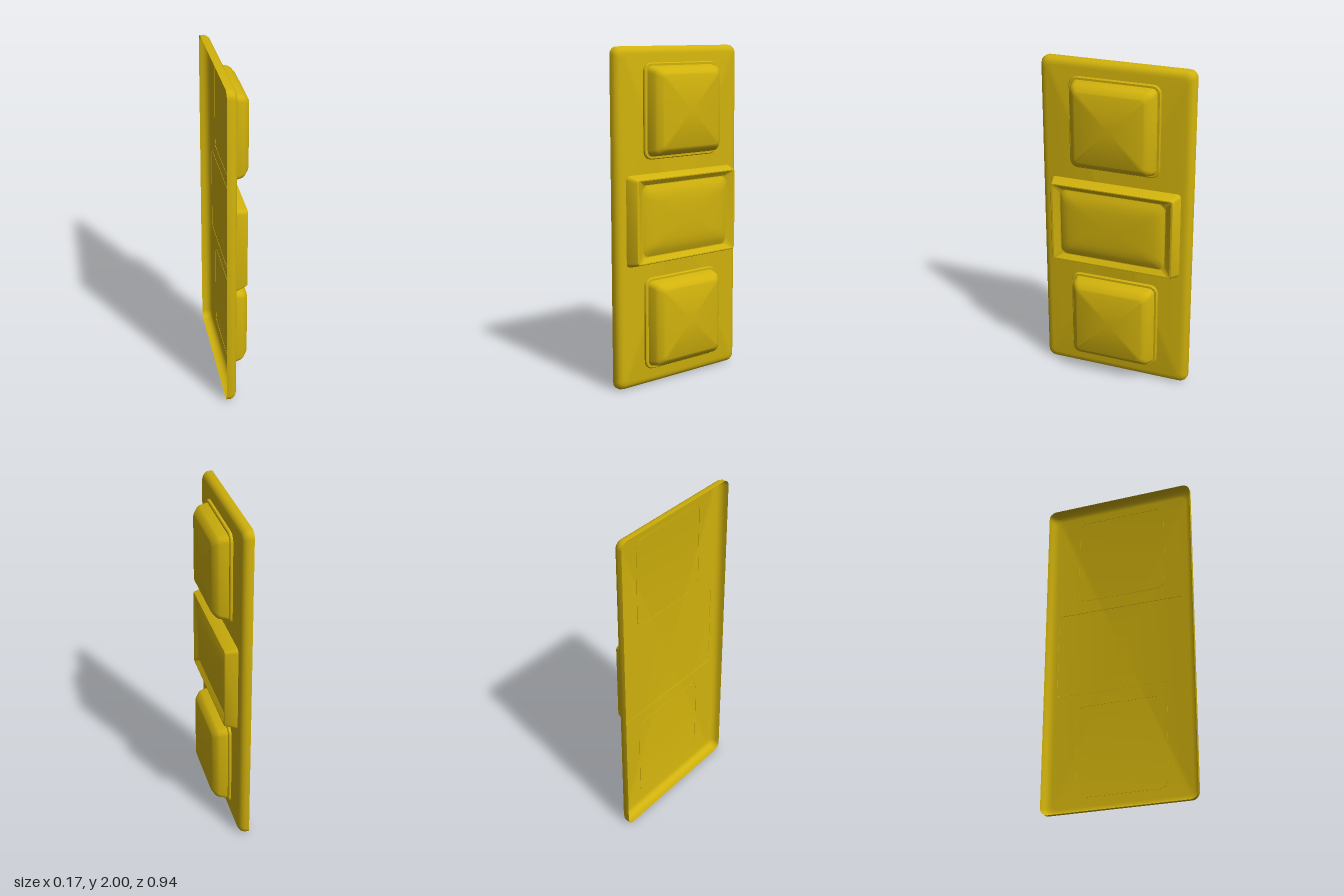
import * as THREE from 'three';
import { toCreasedNormals } from 'three/addons/utils/BufferGeometryUtils.js';

const CORNER_STEPS = 4;

// Rounded rectangle in the YZ plane, counter-clockwise seen from +x
function ring([x, hy, hz, r]) {
  const points = [];
  const corners = [[1, 1], [-1, 1], [-1, -1], [1, -1]];
  corners.forEach(([sy, sz], c) => {
    for (let i = 0; i <= CORNER_STEPS; i++) {
      const a = (c + i / CORNER_STEPS) * Math.PI / 2;
      points.push([x, sy * (hy - r) + r * Math.cos(a), sz * (hz - r) + r * Math.sin(a)]);
    }
  });
  return points;
}

// Skin a row of sections [x, halfHeight, halfDepth, cornerRadius] and cap the last one
function loft(sections, crease = 0.6) {
  const rings = sections.map(ring);
  const n = rings[0].length;
  const index = [];
  for (let i = 0; i < rings.length - 1; i++) {
    for (let j = 0; j < n; j++) {
      const k = (j + 1) % n;
      const a = i * n + j, b = i * n + k;
      index.push(a, b, b + n, a, b + n, a + n);
    }
  }
  const last = (rings.length - 1) * n;
  for (let j = 0; j < n; j++) index.push(last + j, last + (j + 1) % n, rings.length * n);
  const points = [...rings.flat(), [sections.at(-1)[0], 0, 0]];
  const geometry = new THREE.BufferGeometry();
  geometry.setAttribute('position', new THREE.Float32BufferAttribute(points.flat(), 3));
  geometry.setIndex(index);
  return toCreasedNormals(geometry, crease);
}

export function createModel() {
  const group = new THREE.Group();
  const material = new THREE.MeshStandardMaterial({ color: 0xd1b20c, side: THREE.DoubleSide });

  function add(name, y, sections, crease) {
    const mesh = new THREE.Mesh(loft(sections, crease), material);
    mesh.name = name;
    mesh.position.y = y;
    group.add(mesh);
  }

  // Wall plate: a shell with rounded front edges, open at the back
  add('plate', 1, [
    [-0.085, 1, 0.47, 0.045],
    [-0.06, 1, 0.47, 0.045],
    [-0.044, 0.995, 0.465, 0.045],
    [-0.032, 0.985, 0.455, 0.04],
    [-0.025, 0.972, 0.442, 0.035],
    [-0.022, 0.955, 0.425, 0.03],
  ]);

  // Two raised square buttons, each on a thin collar
  [['upper', 1.63], ['lower', 0.376]].forEach(([side, y]) => {
    add(side + 'Collar', y, [
      [-0.024, 0.277, 0.28, 0.05],
      [-0.01, 0.277, 0.28, 0.05],
      [-0.005, 0.272, 0.275, 0.045],
    ]);
    add(side + 'Button', y, [
      [-0.006, 0.26, 0.262, 0.035],
      [0.045, 0.25, 0.251, 0.035],
      [0.058, 0.243, 0.244, 0.035],
      [0.07, 0.23, 0.23, 0.03],
      [0.081, 0.217, 0.217, 0.025],
      [0.085, 0.208, 0.208, 0.02],
    ]);
  });

  // Middle frame: sloping outside, flat lip, recessed floor
  add('middleFrame', 1.003, [
    [-0.024, 0.268, 0.41, 0.025],
    [0.044, 0.25, 0.388, 0.02],
    [0.05, 0.246, 0.383, 0.018],
    [0.05, 0.24, 0.372, 0.015],
    [0.028, 0.212, 0.335, 0.03],
  ], 0.45);

  // Soft domed pad inside the frame
  add('middlePad', 1.003, [
    [0.027, 0.21, 0.332, 0.04],
    [0.041, 0.18, 0.31, 0.04],
    [0.05, 0.152, 0.27, 0.04],
    [0.055, 0.115, 0.21, 0.04],
    [0.058, 0.06, 0.12, 0.03],
  ]);

  return group;
}
